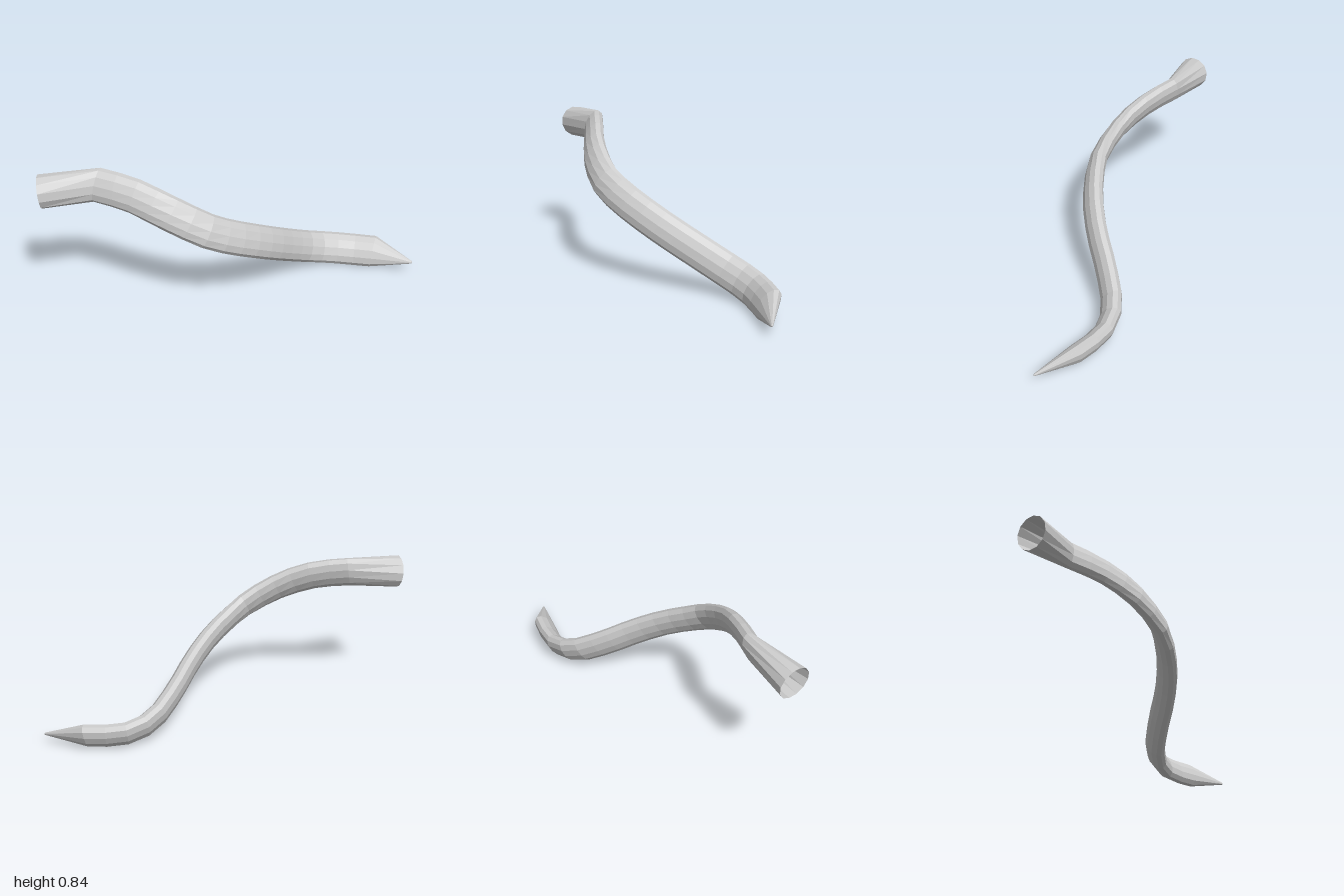
import * as THREE from 'three';

const SIDES = 12;
const STEPS = 18;

// One elliptical ring: centre, direction of travel, rough "up", half height and half width
function ring(center, tangent, up, a, b) {
  const t = tangent.clone().normalize();
  const major = up.clone().addScaledVector(t, -up.dot(t)).normalize();
  const minor = new THREE.Vector3().crossVectors(t, major);
  const points = [];
  for (let i = 0; i < SIDES; i++) {
    const ang = (i / SIDES) * Math.PI * 2;
    points.push(center.clone()
      .addScaledVector(major, a * Math.cos(ang))
      .addScaledVector(minor, b * Math.sin(ang)));
  }
  return points;
}

// Skin a list of rings, each facing along the path
function skin(rings) {
  const pos = [], idx = [];
  rings.forEach(r => r.forEach(p => pos.push(p.x, p.y, p.z)));
  for (let j = 0; j < rings.length - 1; j++) {
    for (let i = 0; i < SIDES; i++) {
      const k = (i + 1) % SIDES;
      const a = j * SIDES + i, b = j * SIDES + k;
      const c = a + SIDES, d = b + SIDES;
      idx.push(a, b, c, b, d, c);
    }
  }
  const geo = new THREE.BufferGeometry();
  geo.setAttribute('position', new THREE.Float32BufferAttribute(pos, 3));
  geo.setIndex(idx);
  geo.computeVertexNormals();
  return geo;
}

export function createModel() {
  const group = new THREE.Group();
  group.name = 'curvedHorn';
  const material = new THREE.MeshStandardMaterial({
    color: 0xcccccc, flatShading: true, side: THREE.DoubleSide,
  });
  const add = (name, rings) => {
    const mesh = new THREE.Mesh(skin(rings), material);
    mesh.name = name;
    group.add(mesh);
  };

  // Centre line of the S-shaped body
  const path = new THREE.CatmullRomCurve3([
    [-0.69, 0.765, 0.268], [-0.5, 0.738, 0.298], [-0.3, 0.662, 0.325],
    [-0.1, 0.555, 0.3], [0, 0.492, 0.238], [0.1, 0.425, 0.15],
    [0.2, 0.338, 0.025], [0.3, 0.23, -0.14], [0.4, 0.145, -0.275],
    [0.5, 0.105, -0.345], [0.6, 0.09, -0.368], [0.765, 0.088, -0.367],
  ].map(p => new THREE.Vector3(...p)));

  const upStart = new THREE.Vector3(0, 0.94, -0.34);
  const upEnd = new THREE.Vector3(0, 0.84, -0.55);
  const body = [];
  for (let i = 0; i <= STEPS; i++) {
    const u = i / STEPS;
    const up = upStart.clone().lerp(upEnd, Math.min(1, u * 2));
    const tangent = path.getTangentAt(u);
    if (i === STEPS) tangent.set(1, -0.12, 0.12);
    body.push(ring(path.getPointAt(u), tangent, up, 0.093, 0.049));
  }
  add('body', body);

  // Round open socket at the upper end
  const socket = ring(new THREE.Vector3(-0.978, 0.74, 0.34),
    new THREE.Vector3(0.3, 0.03, -0.067), upStart, 0.091, 0.091);
  add('socket', [socket, body[0]]);

  // Pointed tip with a tiny blunt end
  const tip = new THREE.Vector3(0.995, 0.07, -0.308);
  const dir = new THREE.Vector3(1, -0.08, 0.25);
  add('tip', [
    body[STEPS],
    ring(tip, dir, upEnd, 0.008, 0.006),
    ring(tip.clone().addScaledVector(dir, 0.005), dir, upEnd, 0, 0),
  ]);

  return group;
}
